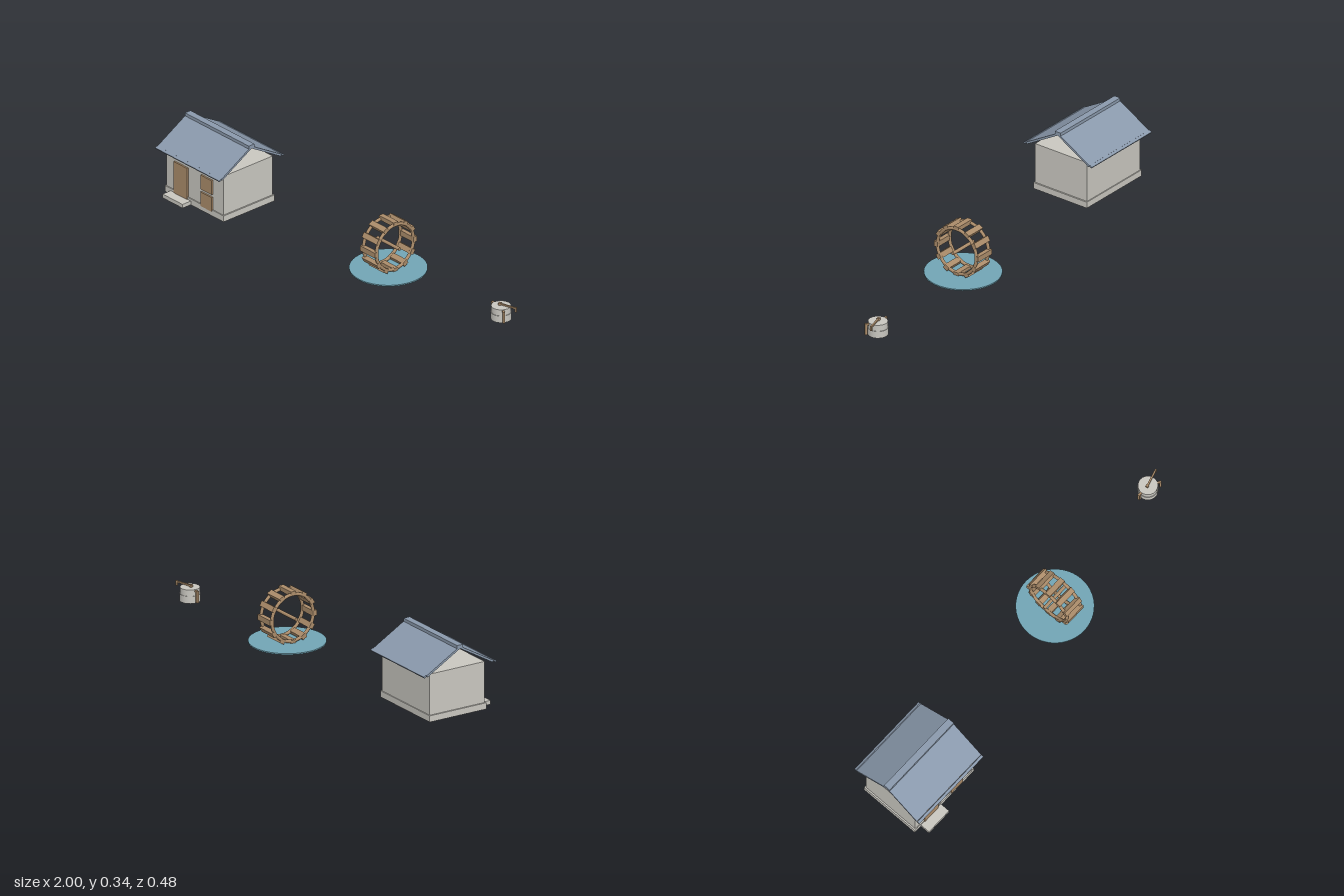
import * as THREE from 'three';

const material = (name, color) => Object.assign(new THREE.MeshStandardMaterial({ color }), { name });

export function createModel() {
  const stone = material('pale stone', 0xc9c7c0);
  const wood = material('brown wood', 0xab8c6a);
  const slate = material('blue grey slate', 0x8a99ac);
  const water = material('water blue', 0x72a5b5);

  const model = new THREE.Group();
  const group = (name, x, y, z) => {
    const g = new THREE.Group();
    g.name = name;
    g.position.set(x, y, z);
    model.add(g);
    return g;
  };
  const add = (parent, name, geometry, mat, x = 0, y = 0, z = 0) => {
    const mesh = new THREE.Mesh(geometry, mat);
    mesh.name = name;
    mesh.position.set(x, y, z);
    parent.add(mesh);
    return mesh;
  };
  const box = (parent, name, mat, size, pos) =>
    add(parent, name, new THREE.BoxGeometry(...size), mat, ...pos);
  const cylinder = (parent, name, mat, r, y0, y1, sides) =>
    add(parent, name, new THREE.CylinderGeometry(r, r, y1 - y0, sides), mat, 0, (y0 + y1) / 2, 0);

  // House
  const house = group('house', -0.786, 0, 0.038);
  box(house, 'foundation', stone, [0.394, 0.03, 0.304], [0, 0.015, 0]);
  box(house, 'walls', stone, [0.38, 0.195, 0.295], [0, 0.1275, 0]);
  box(house, 'doorStep', stone, [0.134, 0.019, 0.051], [-0.09, 0.0095, 0.1755]);
  box(house, 'door', wood, [0.09, 0.157, 0.009], [-0.089, 0.0975, 0.151]);
  for (const y of [0.143, 0.058])
    box(house, 'windowPane', wood, [0.075, 0.071, 0.009], [0.083, y, 0.151]);

  // Open-ended roof: two slabs, separate eave battens and a ridge cap
  const roofLength = 0.428, pitch = Math.PI / 6;
  for (const side of [1, -1]) {
    const slab = box(house, 'roofSlope', slate, [roofLength, 0.01, 0.206], [0, 0.2785, side * 0.0885]);
    slab.rotation.x = side * pitch;
    const batten = box(house, 'eaveBatten', slate, [roofLength, 0.008, 0.013], [0, 0.227, side * 0.187]);
    batten.rotation.x = side * pitch;
  }
  box(house, 'ridgeCap', slate, [roofLength, 0.017, 0.033], [0, 0.3325, 0]);

  // Pond
  const pond = group('pond', 0.232, 0, -0.0615);
  cylinder(pond, 'pondWater', water, 0.1755, 0.002, 0.008, 48);

  // Water wheel, turning about x
  const wheel = group('waterWheel', 0.233, 0.1275, -0.0615);
  for (const side of [1, -1]) {
    const rim = add(wheel, 'wheelRim', new THREE.TorusGeometry(0.1105, 0.0078, 12, 64), wood, side * 0.043);
    rim.rotation.y = Math.PI / 2;
  }
  const axle = add(wheel, 'axle', new THREE.CylinderGeometry(0.008, 0.008, 0.149, 16), wood);
  axle.rotation.z = Math.PI / 2;
  for (let i = 0; i < 12; i++) {
    const a = (i / 12) * Math.PI * 2;
    const paddle = box(wheel, 'paddle', wood, [0.1, 0.021, 0.026],
      [0, Math.cos(a) * 0.1155, Math.sin(a) * 0.1155]);
    paddle.rotation.x = a;
  }

  // Round stone well with a thicker lower course
  const well = group('well', 0.919, 0, -0.122);
  cylinder(well, 'wellWall', stone, 0.0447, 0.001, 0.064, 24);
  cylinder(well, 'wellLowerCourse', stone, 0.047, 0, 0.034, 24);

  // Bent wooden brackets standing off the wall
  for (const angle of [Math.PI, -Math.PI / 6]) {
    const bracket = new THREE.Group();
    bracket.name = 'bracket';
    bracket.rotation.y = -angle;
    box(bracket, 'bracketArm', wood, [0.024, 0.009, 0.009], [0.05, 0.0565, 0]);
    box(bracket, 'bracketPost', wood, [0.01, 0.056, 0.01], [0.058, 0.033, 0]);
    well.add(bracket);
  }
  well.children[2].rotation.y = Math.PI;
  well.children[3].rotation.y = -Math.PI / 6;

  // Crank on top of the well
  const crank = new THREE.Group();
  crank.name = 'crank';
  crank.rotation.y = 0.27;
  box(crank, 'crankHub', wood, [0.012, 0.014, 0.012], [-0.006, 0.069, 0]);
  box(crank, 'crankArm', wood, [0.088, 0.007, 0.008], [0.036, 0.0705, 0]);
  box(crank, 'crankGrip', wood, [0.008, 0.024, 0.008], [0.077, 0.064, 0]);
  well.add(crank);

  return model;
}
